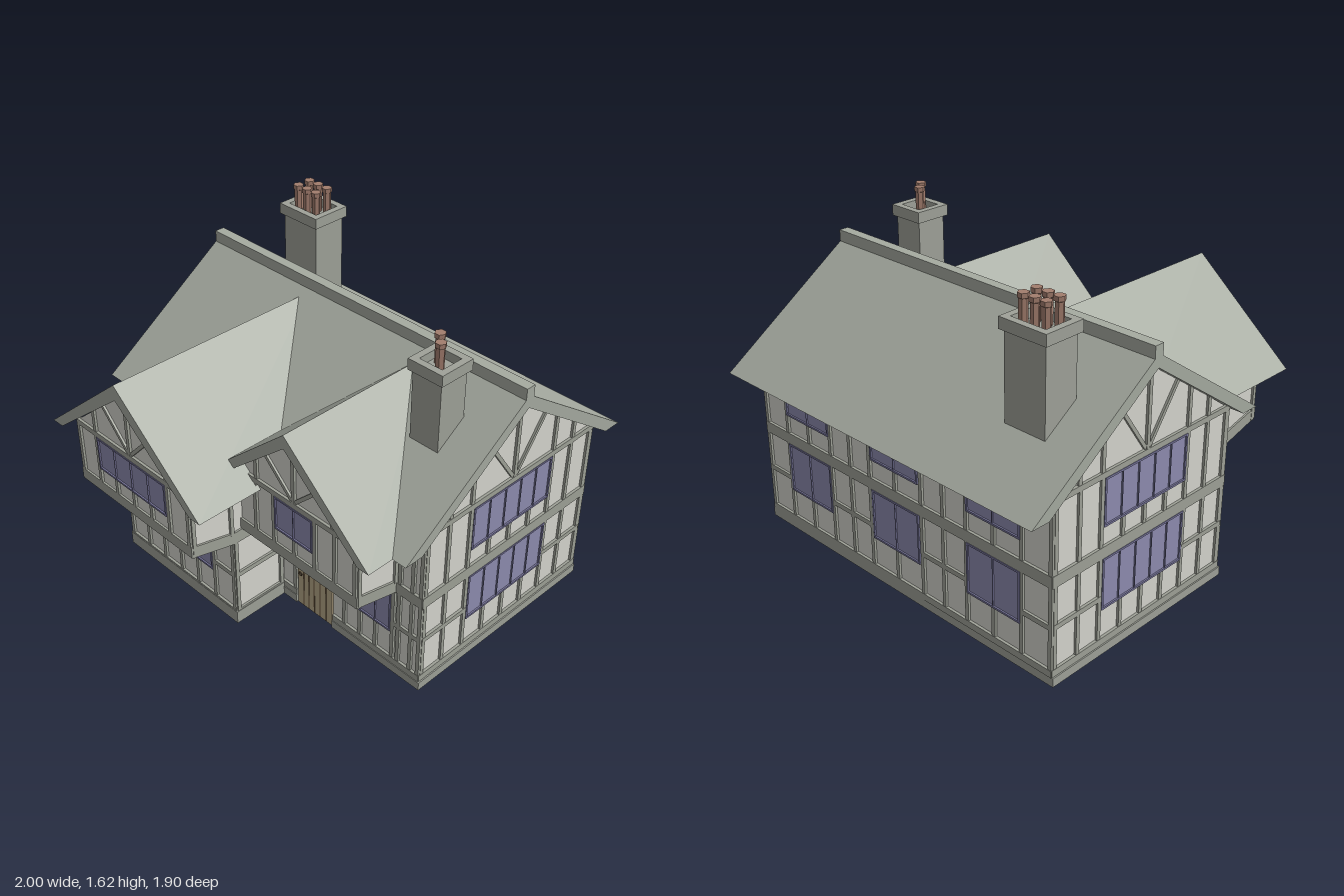
import * as THREE from 'three';

const mat = (name, color, extra = {}) => Object.assign(new THREE.MeshStandardMaterial({ color, ...extra }), { name });

export function createModel() {
  const plaster = mat('plaster', 0xd6d6cf), timber = mat('timber', 0x9fa298), roofMat = mat('roof', 0xa6aba1);
  const stone = mat('stone', 0x9fa299), glass = mat('glass', 0x8e8cb0), frame = mat('window frame', 0x77759a);
  const wood = mat('door wood', 0xb8a888), dark = mat('dark wood', 0x6a573f), clay = mat('clay', 0xa37e6e);
  const house = new THREE.Group();
  house.name = 'house';

  const mesh = (name, geo, m, parent = house) => {
    const o = new THREE.Mesh(geo, m);
    o.name = name;
    parent.add(o);
    return o;
  };
  const box = (name, x0, x1, y0, y1, z0, z1, m, parent) => {
    const o = mesh(name, new THREE.BoxGeometry(x1 - x0, y1 - y0, z1 - z0), m, parent);
    o.position.set((x0 + x1) / 2, (y0 + y1) / 2, (z0 + z1) / 2);
    return o;
  };
  const polygon = pts => new THREE.Shape(pts.map(p => new THREE.Vector2(...p)));
  const extrude = (shape, depth) => new THREE.ExtrudeGeometry(shape, { depth, bevelEnabled: false, curveSegments: 12 });
  // Turn a (z, y) profile so that it runs along x
  const alongX = (pts, x0, x1) => extrude(polygon(pts.map(([z, y]) => [-z, y])), x1 - x0).rotateY(Math.PI / 2).translate(x0, 0, 0);
  const gable = (c, half, y0, eave, apex) => [[c - half, y0], [c + half, y0], [c + half, eave], [c, apex], [c - half, eave]];
  const chevron = (c, half, apex, inHalf, inApex, y = 0.85) =>
    [[c - half, y], [c - inHalf, y], [c, inApex], [c + inHalf, y], [c + half, y], [c, apex]];

  // Walls
  mesh('mainWalls', alongX(gable(-0.215, 0.565, 0.02, 0.895, 1.3), -0.955, 0.955), plaster);
  box('wingLowerWalls', -0.74, 0.065, 0.02, 0.53, 0.2, 0.655, plaster);
  const wings = [
    { name: 'left', c: -0.335, half: 0.402, z: 0.895, foot: 0.66, apex: 1.305, roofHalf: 0.54, inHalf: 0.47, inApex: 1.225, front: 0.95 },
    { name: 'right', c: 0.425, half: 0.378, z: 0.6, foot: 0.355, apex: 1.29, roofHalf: 0.5, inHalf: 0.435, inApex: 1.22, front: 0.66 },
  ];
  for (const w of wings) {
    mesh(w.name + 'WingUpperWalls', extrude(polygon(gable(w.c, w.half, 0.552, 0.9, w.inApex + 0.01)), w.z - 0.2).translate(0, 0, 0.2), plaster);
    mesh(w.name + 'WingRoof', extrude(polygon(chevron(w.c, w.roofHalf, w.apex, w.inHalf, w.inApex)), w.front + 0.2).translate(0, 0, -0.2), roofMat);
    // Sloping jetty with joists underneath
    const x0 = w.c - w.half - 0.01, x1 = w.c + w.half + 0.01, f = w.foot, z = w.z + 0.012;
    mesh(w.name + 'Jetty', alongX([[0.25, 0.49], [f, 0.49], [z, 0.555], [z, 0.615], [f, 0.555], [0.25, 0.555]], x0, x1), timber);
    for (let x = x0 + 0.02; x < x1 - 0.02; x += 0.047)
      mesh('joist', alongX([[f, 0.478], [z - 0.015, 0.54], [z - 0.015, 0.553], [f, 0.491]], x, x + 0.022), timber);
  }
  mesh('mainRoof', alongX(chevron(-0.215, 0.735, 1.355, 0.635, 1.29), -1, 1), roofMat);
  box('ridgeCap', -1, 1, 1.32, 1.395, -0.242, -0.19, roofMat);

  // Plinth, leaving a gap at the door
  box('plinth', -0.975, 0.975, 0, 0.045, -0.79, 0.35, stone);
  box('plinthFrontLeft', 0.415, 0.975, 0, 0.045, 0.35, 0.367, stone);
  box('plinthFrontRight', -0.975, 0.17, 0, 0.045, 0.35, 0.367, stone);
  box('wingPlinth', -0.75, 0.08, 0, 0.07, 0.3, 0.67, stone);

  // A wall face with its own u (along), v (up) coordinates
  const face = (name, x, z, turn) => {
    const g = new THREE.Group();
    g.name = name;
    g.position.set(x, 0, z);
    g.rotation.y = turn * Math.PI / 2;
    house.add(g);
    const bar = (u0, u1, v0, v1, m = timber, t = 0.012, n = 'timber') => box(n, u0, u1, v0, v1, -0.004, t, m, g);
    const posts = (us, v0, v1, w = 0.02) => us.forEach(u => bar(u - w / 2, u + w / 2, v0, v1));
    const strut = (u0, v0, u1, v1) => {
      const b = bar(-0.009, 0.009, 0, Math.hypot(u1 - u0, v1 - v0));
      b.name = 'strut';
      b.position.set((u0 + u1) / 2, (v0 + v1) / 2, 0.003);
      b.rotation.z = Math.atan2(u0 - u1, v1 - v0);
    };
    const win = (u0, u1, v0, v1, panes) => {
      bar(u0, u1, v0, v1, glass, 0.008, 'windowGlass');
      for (const v of [v0, v1 - 0.01]) bar(u0, u1, v, v + 0.01, frame, 0.016, 'windowFrame');
      for (let i = 0; i <= panes; i++) {
        const u = u0 + 0.005 + (u1 - u0 - 0.01) * i / panes, h = i % panes ? 0.002 : 0.005;
        bar(u - h, u + h, v0, v1, frame, 0.0155, 'mullion');
      }
    };
    // King post, two struts and uprights under a gable
    const truss = (c, apex, slope, reach, offs) => {
      bar(c - 0.01, c + 0.01, 0.9, apex, timber, 0.013);
      for (const s of [-1, 1]) {
        strut(c + s * 0.012, 0.915, c + s * reach, apex - slope * reach + 0.01);
        offs.forEach(o => posts([c + s * o], 0.9, apex - slope * o + 0.01));
      }
    };
    return { bar, posts, strut, win, truss };
  };
  const steps = (a, b, n) => Array.from({ length: n + 1 }, (_, i) => a + (b - a) * i / n);

  // Gable ends
  for (const s of [1, -1]) {
    const f = face(s > 0 ? 'leftGableEnd' : 'rightGableEnd', 0.955 * s, 0, s);
    const span = (z0, z1, v0, v1) => f.bar(Math.min(-s * z0, -s * z1), Math.max(-s * z0, -s * z1), v0, v1, timber, 0.0135);
    span(-0.79, 0.36, 0.045, 0.08);
    span(-0.79, 0.36, 0.49, 0.548);
    span(-0.79, 0.36, 0.88, 0.908);
    span(0.06, 0.35, 0.28, 0.305);
    span(-0.49, -0.78, 0.28, 0.305);
    f.posts([0.34, 0.205, 0.065, -0.495, -0.63, -0.77].map(z => -s * z), 0.08, 0.9);
    for (const [v0, sill, top] of [[0.08, 0.23, 0.49], [0.545, 0.645, 0.88]]) {
      f.posts(steps(0.065, -0.495, 4).map(z => -s * z), v0, sill);
      f.win(Math.min(-s * 0.055, s * 0.485), Math.max(-s * 0.055, s * 0.485), sill, top, 5);
    }
    f.truss(s * 0.215, 1.29, 0.693, 0.19, [0.28, 0.42]);
  }

  // Back wall
  const back = face('backWall', 0, -0.78, 2);
  for (const [v0, v1] of [[0.045, 0.08], [0.49, 0.548], [0.88, 0.9]]) back.bar(-0.965, 0.965, v0, v1, timber, 0.0135);
  for (const [a, b] of [[-0.96, -0.78], [-0.47, -0.165], [0.165, 0.47], [0.78, 0.96]]) back.bar(a, b, 0.28, 0.305);
  back.posts([-0.955, -0.79, -0.46, -0.315, -0.175, 0.175, 0.315, 0.46, 0.79, 0.955], 0.08, 0.9);
  for (const c of [-0.625, 0, 0.625])
    for (const [v0, sill, top] of [[0.08, 0.23, 0.49], [0.545, 0.645, 0.88]]) {
      back.posts([c], v0, sill);
      back.win(c - 0.16, c + 0.16, sill, top, 2);
    }

  // Front wall beside and behind the wings
  const front = face('frontWall', 0, 0.35, 0);
  for (const [a, b] of [[-0.965, -0.74], [0.06, 0.17], [0.415, 0.965]]) front.bar(a, b, 0.045, 0.08, timber, 0.0135);
  for (const [a, b] of [[-0.965, -0.74], [0.8, 0.965]]) front.bar(a, b, 0.49, 0.548, timber, 0.0135);
  for (const [a, b] of [[-0.96, -0.74], [0.06, 0.17], [0.41, 0.49], [0.79, 0.96]]) front.bar(a, b, 0.28, 0.305);
  front.posts([-0.955, -0.84, -0.75, 0.83, 0.905, 0.955], 0.08, 0.88);
  front.posts([0.155, 0.49, 0.795], 0.08, 0.5);
  front.posts([0.59, 0.69], 0.08, 0.235);
  front.win(0.5, 0.785, 0.235, 0.485, 3);

  // Wing ground floor
  const low = face('wingGroundFloor', 0, 0.655, 0);
  low.bar(-0.745, 0.072, 0.045, 0.08, timber, 0.0135);
  for (const [a, b] of [[-0.74, -0.6], [-0.08, 0.065]]) low.bar(a, b, 0.28, 0.305);
  low.posts([-0.735, -0.6, -0.08, 0.06], 0.08, 0.5);
  low.posts(steps(-0.6, -0.08, 4), 0.08, 0.235);
  low.win(-0.59, -0.09, 0.235, 0.488, 4);
  for (const [x, s] of [[0.065, 1], [-0.74, -1]]) {
    const f = face('wingGroundSide', x, 0, s), a = Math.min(-s * 0.36, -s * 0.66);
    f.bar(a, a + 0.3, 0.045, 0.08);
    f.bar(a, a + 0.3, 0.28, 0.305);
    f.posts([-s * 0.65, -s * 0.375], 0.08, 0.5);
  }

  // Wing upper floors
  for (const w of wings) {
    const f = face(w.name + 'WingFront', w.c, w.z, 0), left = w.name === 'left';
    const wh = left ? 0.25 : 0.12, e = w.half - 0.005;
    f.bar(-w.half, w.half, 0.88, 0.908, timber, 0.0135);
    f.posts([-e, -wh - 0.01, wh + 0.01, e], 0.6, 0.895);
    f.posts(left ? [] : [-0.25, 0.25], 0.6, 0.895);
    f.posts(steps(-wh - 0.01, wh + 0.01, left ? 4 : 2), 0.6, 0.7);
    f.win(-wh, wh, 0.7, 0.88, left ? 4 : 2);
    f.truss(0, w.inApex, left ? 0.8 : 0.85, 0.18, left ? [0.26] : [0.24]);
    for (const s of [-1, 1]) {
      const side = face(w.name + 'WingSide', w.c + s * w.half, 0, s);
      side.posts([-s * (w.z - 0.008), -s * (w.foot + 0.01)], 0.55, 0.895);
    }
  }

  // Arched door
  const arch = (path, rx, ry, y0) => {
    path.moveTo(0.292 - rx, y0);
    path.lineTo(0.292 + rx, y0);
    path.lineTo(0.292 + rx, 0.345);
    path.absellipse(0.292, 0.345, rx, ry, 0, Math.PI, false);
    path.lineTo(0.292 - rx, y0);
    return path;
  };
  mesh('door', extrude(arch(new THREE.Shape(), 0.117, 0.08, 0.003), 0.014).translate(0, 0, 0.345), wood);
  const surround = arch(new THREE.Shape(), 0.127, 0.097, 0.34);
  surround.holes.push(arch(new THREE.Path(), 0.112, 0.076, 0.341));
  mesh('doorArch', extrude(surround, 0.022).translate(0, 0, 0.345), timber);
  for (const x of [0.215, 0.25, 0.287, 0.328, 0.367])
    box('plankGap', x - 0.003, x + 0.003, 0.004, 0.345 + 0.076 * Math.sqrt(1 - ((x - 0.292) / 0.117) ** 2), 0.35, 0.3605, dark);
  const knob = mesh('doorHandle', new THREE.TorusGeometry(0.009, 0.003, 6, 12), dark);
  knob.position.set(0.197, 0.2, 0.364);

  // Chimneys with open caps and clay pots
  const chimney = (name, x0, x1, z0, z1, base, pots) => {
    const g = new THREE.Group();
    g.name = name;
    house.add(g);
    box('shaft', x0, x1, base, 1.48, z0, z1, stone, g);
    const o = 0.016, i = 0.018;
    const rect = (p, d) => [[x0 - d, -z1 - d], [x1 + d, -z1 - d], [x1 + d, -z0 + d], [x0 - d, -z0 + d]].map(q => new THREE.Vector2(...q));
    const ring = new THREE.Shape(rect(0, o));
    ring.holes.push(new THREE.Path(rect(0, -i)));
    mesh('cap', extrude(ring, 0.055).rotateX(-Math.PI / 2).translate(0, 1.468, 0), stone, g);
    const profile = [[0, 1.48], [0.021, 1.48], [0.021, 1.6], [0.026, 1.603], [0.026, 1.625], [0, 1.625]];
    for (const [x, z] of pots) {
      const geo = new THREE.LatheGeometry(profile.map(p => new THREE.Vector2(...p)), 6).rotateY(Math.PI / 6).toNonIndexed();
      geo.computeVertexNormals();
      mesh('pot', geo, clay, g).position.set(x, 0, z);
    }
  };
  const potGrid = [-0.745, -0.683, -0.62].flatMap(x => [-0.605, -0.53].map(z => [x, z]));
  chimney('rearChimney', -0.795, -0.567, -0.66, -0.478, 0.95, potGrid);
  chimney('frontChimney', 0.64, 0.8, -0.034, 0.124, 1.08, [[0.69, 0.02], [0.742, 0.075]]);
  return house;
}
